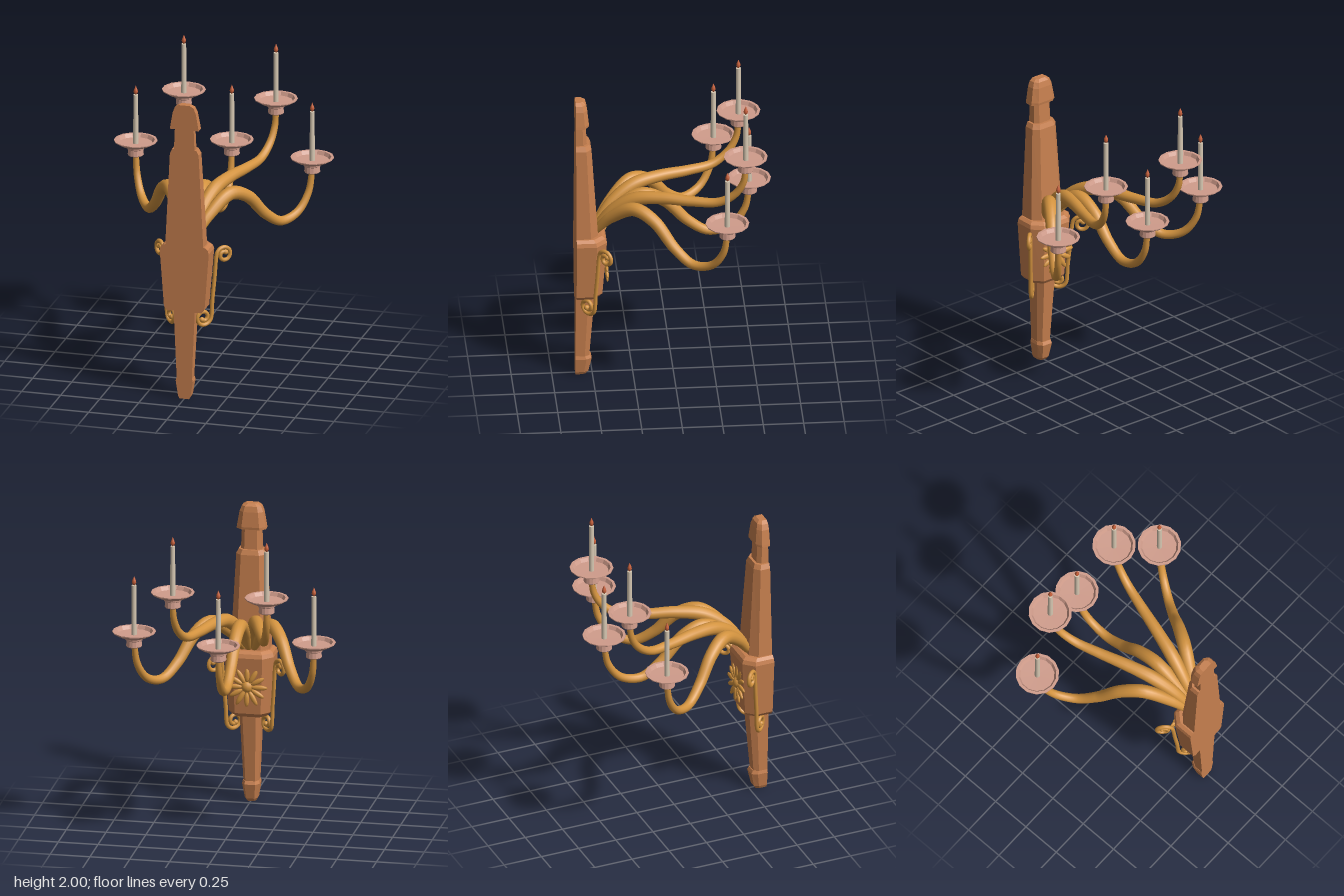
import * as THREE from 'three';

const mat = (name, color, extra = {}) => Object.assign(new THREE.MeshStandardMaterial({ color, ...extra }), { name });

export function createModel() {
  const wood = mat('copper wood', 0xc67f4e, { flatShading: true });
  const gold = mat('gold', 0xd3933f);
  const pink = mat('rose dish', 0xd09c8b, { flatShading: true, side: THREE.DoubleSide });
  const wax = mat('candle wax', 0xd8c9b3);
  const fire = mat('flame', 0xc8603a);

  const model = new THREE.Group();
  model.name = 'wallSconce';
  const add = (parent, name, geo, material) => {
    const m = new THREE.Mesh(geo, material);
    m.name = name;
    parent.add(m);
    return m;
  };

  // Stacked sections with a flat back and chamfered face: [y, half width, face z]
  const BACK = 0.605;
  function loft(levels) {
    const rings = levels.map(([y, w, z]) => {
      const side = BACK - (BACK - z) * 0.66;
      return [[-w, BACK], [-w, side], [-w * 0.62, z], [w * 0.62, z], [w, side], [w, BACK]]
        .map(([px, pz]) => [px, y, pz]);
    });
    const pos = [];
    const tri = (...p) => p.forEach(v => pos.push(...v));
    for (let k = 0; k < rings.length - 1; k++) {
      const a = rings[k], b = rings[k + 1];
      for (let i = 0; i < 6; i++) {
        const j = (i + 1) % 6;
        tri(a[i], b[i], b[j]);
        tri(a[i], b[j], a[j]);
      }
    }
    const lo = rings[0], hi = rings[rings.length - 1];
    for (let i = 1; i < 5; i++) {
      tri(lo[0], lo[i], lo[i + 1]);
      tri(hi[0], hi[i + 1], hi[i]);
    }
    const g = new THREE.BufferGeometry();
    g.setAttribute('position', new THREE.Float32BufferAttribute(pos, 3));
    g.computeVertexNormals();
    return g;
  }

  // Back plate, from bottom to top
  const plate = new THREE.Group();
  plate.name = 'backPlate';
  model.add(plate);
  const sections = {
    foot: [[0, 0.03, 0.54], [0.02, 0.04, 0.525], [0.115, 0.055, 0.505], [0.135, 0.05, 0.515]],
    lowerColumn: [[0.13, 0.048, 0.52], [0.58, 0.068, 0.485]],
    block: [[0.57, 0.11, 0.46], [0.595, 0.13, 0.442], [0.96, 0.157, 0.415], [0.985, 0.15, 0.425], [1.0, 0.13, 0.445]],
    upperColumn: [[0.99, 0.122, 0.468], [1.6, 0.092, 0.508], [1.63, 0.078, 0.52]],
    neck: [[1.62, 0.066, 0.535], [1.77, 0.06, 0.542]],
    cap: [[1.76, 0.092, 0.525], [1.775, 0.09, 0.523], [1.87, 0.074, 0.533], [1.905, 0.06, 0.542], [1.92, 0.036, 0.56]],
  };
  for (const [name, levels] of Object.entries(sections)) add(plate, name, loft(levels), wood);

  // Tube whose radius follows a rule along its length
  function taperedTube(curve, segments, radius) {
    const g = new THREE.TubeGeometry(curve, segments, 1, 14, false);
    const p = g.attributes.position, v = new THREE.Vector3();
    for (let i = 0; i < p.count; i++) {
      const t = Math.floor(i / 15) / segments;
      const c = curve.getPointAt(t);
      v.fromBufferAttribute(p, i).sub(c).multiplyScalar(radius(t)).add(c);
      p.setXYZ(i, v.x, v.y, v.z);
    }
    return g;
  }
  const armRadius = t => t < 0.3
    ? THREE.MathUtils.lerp(0.026, 0.043, Math.sin(t / 0.3 * Math.PI / 2))
    : THREE.MathUtils.lerp(0.043, 0.018, (t - 0.3) / 0.7);

  // Arm paths: [fraction of reach, height]
  const lowPath = [[0, 1.02], [0.12, 1.14], [0.3, 1.24], [0.45, 1.19], [0.6, 1.045], [0.74, 0.967], [0.88, 1.0], [0.97, 1.11], [1, 1.25]];
  const tallPath = [[0, 1.03], [0.12, 1.17], [0.27, 1.26], [0.45, 1.285], [0.65, 1.285], [0.82, 1.3], [0.93, 1.37], [0.985, 1.46], [1, 1.56]];

  // Dish with its socket; y = 0 is the rim
  const dishProfile = [[0.001, -0.1], [0.046, -0.1], [0.05, -0.095], [0.046, -0.06], [0.055, -0.055], [0.057, -0.04],
    [0.075, -0.038], [0.105, -0.025], [0.135, -0.006], [0.135, 0], [0.118, 0], [0.106, -0.022], [0.001, -0.024]]
    .map(([r, y]) => new THREE.Vector2(r, y));
  const dishGeo = new THREE.LatheGeometry(dishProfile, 14);
  const candleGeo = new THREE.CylinderGeometry(0.015, 0.017, 0.33, 12);
  const flameProfile = [[0.001, 0], [0.009, 0.008], [0.014, 0.02], [0.011, 0.034], [0.005, 0.048], [0.0005, 0.06]]
    .map(([r, y]) => new THREE.Vector2(r, y));
  const flameGeo = new THREE.LatheGeometry(flameProfile, 10);

  const lights = [[-0.565, 1.33, -0.293], [-0.295, 1.643, -0.427], [0, 1.33, -0.47], [0.295, 1.643, -0.427], [0.565, 1.33, -0.293]];
  for (const [x, y, z] of lights) {
    const branch = new THREE.Group();
    branch.name = 'candleArm';
    model.add(branch);
    const path = y > 1.5 ? tallPath : lowPath;
    const curve = new THREE.CatmullRomCurve3(path.map(([t, h]) => new THREE.Vector3(
      x * (0.06 + 0.94 * t), h, THREE.MathUtils.lerp(0.48, z, t))));
    add(branch, 'arm', taperedTube(curve, 56, armRadius), gold);
    add(branch, 'dish', dishGeo, pink).position.set(x, y, z);
    add(branch, 'candle', candleGeo, wax).position.set(x, y + 0.13, z);
    add(branch, 'flame', flameGeo, fire).position.set(x, y + 0.294, z);
  }

  // S-shaped side scrolls, each in a diagonal upright plane
  for (const s of [-1, 1]) {
    const pts = [];
    const put = (u, y) => pts.push(new THREE.Vector3(s * (0.168 + 0.7 * u), y, 0.468 - 0.7 * u));
    const spiral = (cu, cy, from, r0, reverse) => {
      const list = [];
      for (let i = 0; i <= 20; i++) {
        const a = from - i / 20 * Math.PI * 2.7, r = r0 * (1 - 0.68 * i / 20);
        list.push([cu + Math.cos(a) * r, cy + Math.sin(a) * r]);
      }
      if (reverse) list.reverse();
      list.forEach(([u, y]) => put(u, y));
    };
    spiral(-0.093, 0.52, 0, 0.057, true);
    put(-0.03, 0.62);
    put(-0.015, 0.76);
    spiral(0.055, 0.905, Math.PI, 0.056, false);
    const g = new THREE.TubeGeometry(new THREE.CatmullRomCurve3(pts), 130, 0.013, 8, false);
    add(model, 'sideScroll', g, gold);
    for (const end of [pts[0], pts[pts.length - 1]])
      add(model, 'scrollEnd', new THREE.SphereGeometry(0.017, 10, 8), gold).position.copy(end);
  }

  // Flower on the face of the block
  const flower = new THREE.Group();
  flower.name = 'flower';
  flower.position.set(0, 0.775, 0.424);
  flower.rotation.x = 0.07;
  model.add(flower);
  const petalGeo = new THREE.SphereGeometry(1, 10, 8);
  for (let i = 0; i < 12; i++) {
    const a = i / 12 * Math.PI * 2, len = i % 2 ? 0.046 : 0.052;
    const petal = add(flower, 'petal', petalGeo, gold);
    petal.scale.set(len, 0.016, 0.011);
    petal.position.set(Math.cos(a) * 0.078, Math.sin(a) * 0.078, -0.008);
    petal.rotation.z = a;
  }
  add(flower, 'flowerCentre', petalGeo, gold).scale.set(0.036, 0.036, 0.028);

  return model;
}
